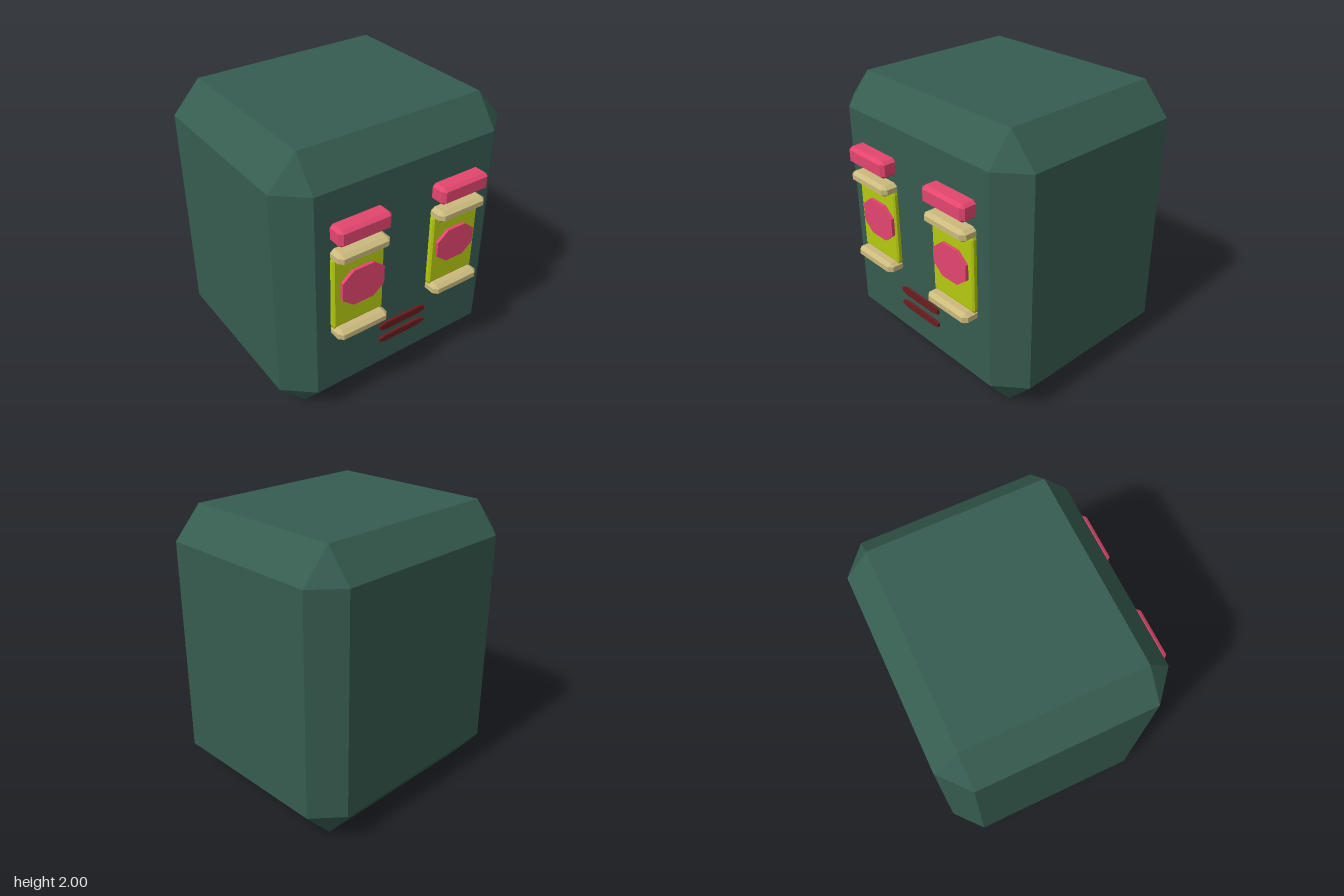
import * as THREE from 'three';
import { ConvexGeometry } from 'three/addons/geometries/ConvexGeometry.js';

const paint = (color) => new THREE.MeshStandardMaterial({ color, flatShading: true });
const green = paint(0x365c50), pink = paint(0xe4466f), lime = paint(0xb6ca10);
const cream = paint(0xcbb97c), maroon = paint(0x6a1d1f);

// Box with all edges cut: min/max corners and a cut size per axis
function chamferBox(name, min, max, cut, material) {
  const c = [0, 1, 2].map((i) => (min[i] + max[i]) / 2);
  const h = [0, 1, 2].map((i) => (max[i] - min[i]) / 2);
  const points = [];
  for (let axis = 0; axis < 3; axis++)
    for (const sx of [-1, 1]) for (const sy of [-1, 1]) for (const sz of [-1, 1]) {
      const p = [sx, sy, sz].map((s, i) => c[i] + s * (i === axis ? h[i] : h[i] - cut[i]));
      points.push(new THREE.Vector3(...p));
    }
  const mesh = new THREE.Mesh(new ConvexGeometry(points), material);
  mesh.name = name;
  return mesh;
}

// Flat plate with an eight-sided outline
function octagonPlate(name, cx, cy, w, h, cutX, cutY, z0, z1, material) {
  const x = w / 2, y = h / 2;
  const shape = new THREE.Shape([
    [x, -y + cutY], [x, y - cutY], [x - cutX, y], [-x + cutX, y],
    [-x, y - cutY], [-x, -y + cutY], [-x + cutX, -y], [x - cutX, -y],
  ].map(([a, b]) => new THREE.Vector2(a, b)));
  const geometry = new THREE.ExtrudeGeometry(shape, { depth: z1 - z0, bevelEnabled: false });
  const mesh = new THREE.Mesh(geometry, material);
  mesh.position.set(cx, cy, z0);
  mesh.name = name;
  return mesh;
}

export function createModel() {
  const model = new THREE.Group();
  model.name = 'blockHead';

  // Head
  model.add(chamferBox('head', [-0.9, 0, -0.84], [0.9, 2, 0.73], [0.2, 0.22, 0.172], green));

  // Eyes with lids and brows; the right pupil is slightly larger
  const eyes = [
    { side: 'left', x: 0.393, pupil: [0.39, 1.055, 0.315, 0.25] },
    { side: 'right', x: -0.397, pupil: [-0.377, 1.055, 0.325, 0.27] },
  ];
  for (const { side, x, pupil } of eyes) {
    const eye = new THREE.Group();
    eye.name = side + 'Eye';
    const a = x - 0.196, b = x + 0.196;
    eye.add(
      chamferBox('brow', [a, 1.435, 0.68], [b, 1.557, 0.84], [0.024, 0.02, 0.025], pink),
      chamferBox('upperLid', [a, 1.298, 0.68], [b, 1.375, 0.84], [0.03, 0.02, 0.03], cream),
      chamferBox('lowerLid', [a, 0.695, 0.68], [b, 0.773, 0.84], [0.03, 0.02, 0.03], cream),
      chamferBox('eyePanel', [a, 0.74, 0.69], [b, 1.335, 0.765], [0.012, 0.04, 0.012], lime),
      octagonPlate('pupil', ...pupil, 0.085, 0.07, 0.75, 0.788, pink),
    );
    model.add(eye);
  }

  // Mouth
  model.add(
    octagonPlate('upperLip', -0.003, 0.547, 0.39, 0.058, 0.05, 0.012, 0.7, 0.748, maroon),
    octagonPlate('lowerLip', -0.003, 0.436, 0.39, 0.05, 0.05, 0.012, 0.7, 0.748, maroon),
  );
  return model;
}
